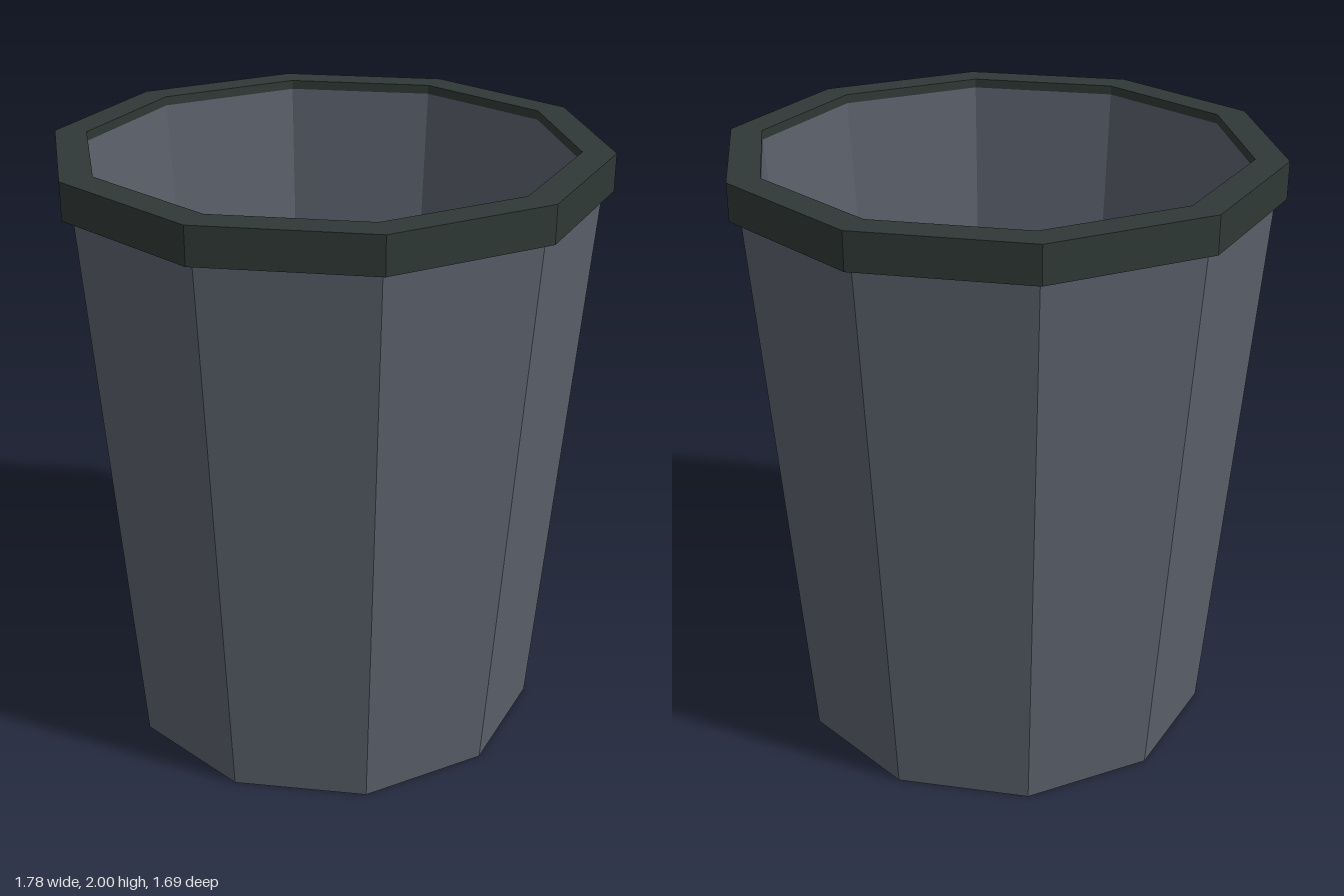
import * as THREE from 'three';

const flat = (name, color) => {
  const m = new THREE.MeshStandardMaterial({ color, flatShading: true });
  m.name = name;
  return m;
};

// Ten-sided turned shape with a corner on the x axis
function turned(name, profile, material) {
  const points = profile.map(([r, y]) => new THREE.Vector2(r, y));
  const mesh = new THREE.Mesh(new THREE.LatheGeometry(points, 10, Math.PI / 2), material);
  mesh.name = name;
  return mesh;
}

// Orthonormal frame spanned by two directions
function frame(a, b) {
  const x = a.clone().normalize();
  const z = x.clone().cross(b).normalize();
  return new THREE.Matrix4().makeBasis(x, z.clone().cross(x), z);
}

export function createModel() {
  const group = new THREE.Group();
  group.name = 'wasteBin';
  const binGrey = flat('binGrey', 0x5a606b);
  const rimGreen = flat('rimDarkGreen', 0x2f3936);
  const paper = flat('paperWhite', 0xe0ddd5);

  // Tapered body with thick walls and an inner floor
  group.add(turned('binBody', [
    [0, 0], [0.71, 0], [0.862, 1.97], [0.785, 1.97], [0.64, 0.08], [0, 0.08],
  ], binGrey));

  // Overhanging rim
  group.add(turned('rim', [
    [0.855, 1.88], [0.89, 1.88], [0.89, 2], [0.785, 2], [0.785, 1.97],
  ], rimGreen));

  // Paper balls: centre, then the directions of two neighbouring corners
  const balls = [
    [[0.185, 0.3, -0.125], [0, 1, 0], [0.894, 0.447, 0]],
    [[-0.25, 0.29, 0.057], [-0.085, 0.223, -0.027], [0.15, 0.166, -0.087]],
    [[0.003, 0.55, 0.305], [-0.003, 0.226, 0.08], [0.097, 0.16, -0.15]],
  ];
  const t = (1 + Math.sqrt(5)) / 2;
  const rest = frame(new THREE.Vector3(-1, t, 0), new THREE.Vector3(1, t, 0)).transpose();
  balls.forEach(([centre, a, b], i) => {
    const ball = new THREE.Mesh(new THREE.IcosahedronGeometry(0.24, 0), paper);
    ball.name = `paperBall${i + 1}`;
    const turn = frame(new THREE.Vector3(...a), new THREE.Vector3(...b)).multiply(rest);
    ball.quaternion.setFromRotationMatrix(turn);
    ball.position.set(...centre);
    group.add(ball);
  });
  return group;
}
